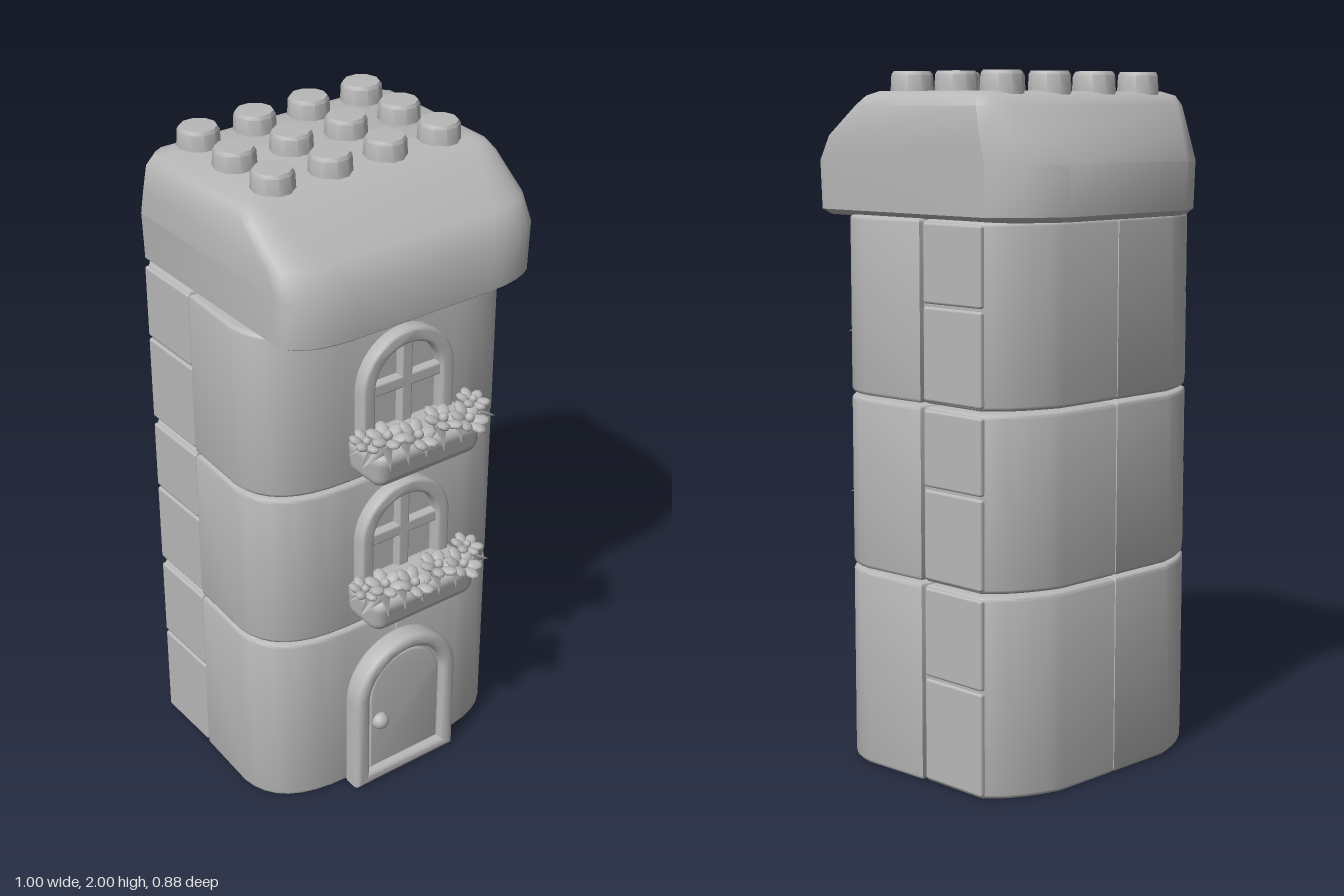
import * as THREE from 'three';
import { toCreasedNormals } from 'three/addons/utils/BufferGeometryUtils.js';
import { RoundedBoxGeometry } from 'three/addons/geometries/RoundedBoxGeometry.js';

const clay = new THREE.MeshStandardMaterial({ color: 0xb8b8b8 });
clay.name = 'grey clay';

function add(parent, name, geometry, x = 0, y = 0, z = 0) {
  const mesh = new THREE.Mesh(geometry, clay);
  mesh.name = name;
  mesh.position.set(x, y, z);
  parent.add(mesh);
  return mesh;
}

// Bevelled extrusion that keeps the shape's outer size
function extrude(shape, depth, bevel, curveSegments = 8) {
  const geo = new THREE.ExtrudeGeometry(shape, {
    depth: depth - 2 * bevel, bevelEnabled: bevel > 0, bevelSize: bevel, bevelThickness: bevel,
    bevelOffset: -bevel, bevelSegments: 3, curveSegments,
  });
  geo.translate(0, 0, bevel);
  return toCreasedNormals(geo, 0.6);
}

// Round-topped outline
function arch(half, bottom, top, path = new THREE.Shape()) {
  path.moveTo(-half, bottom);
  path.lineTo(half, bottom);
  path.lineTo(half, top - half);
  path.absarc(0, top - half, half, 0, Math.PI, false);
  path.closePath();
  return path;
}

// Plate on the +x wall
const wallPlate = (shape, depth, bevel) => extrude(shape, depth, bevel, 12).rotateY(Math.PI / 2);

// One quarter of a storey; s mirrors it across z = 0
function quarter(isPlusX, s) {
  const shape = new THREE.Shape();
  const p = (x, z) => [x, -z * s];
  if (isPlusX) {
    shape.moveTo(...p(-0.116, 0.002));
    shape.lineTo(...p(0.278, 0.002));
    shape.lineTo(...p(0.278, 0.18));
    shape.quadraticCurveTo(...p(0.275, 0.43), ...p(0.1, 0.442));
    shape.lineTo(...p(-0.116, 0.432));
  } else {
    shape.moveTo(...p(-0.124, 0.002));
    shape.lineTo(...p(-0.124, 0.424));
    shape.lineTo(...p(-0.34, 0.424));
    shape.quadraticCurveTo(...p(-0.42, 0.37), ...p(-0.458, 0.22));
    shape.lineTo(...p(-0.458, 0.002));
  }
  shape.closePath();
  return shape;
}

function storey(y0, y1, name) {
  const group = new THREE.Group();
  group.name = name;
  for (const s of [1, -1]) {
    for (const plusX of [true, false]) {
      add(group, 'wallBlock', extrude(quarter(plusX, s), y1 - y0, 0.012).rotateX(-Math.PI / 2), 0, y0, 0);
    }
    // Two raised panels leave a groove at mid height
    const mid = (y0 + y1) / 2 + 0.02;
    for (const [a, b] of [[y0 + 0.008, mid - 0.004], [mid + 0.004, y1 - 0.008]]) {
      add(group, 'wallPanel', new RoundedBoxGeometry(0.225, b - a, 0.03, 2, 0.008), -0.238, (a + b) / 2, s * 0.416);
    }
  }
  return group;
}

// Roof lofted from horizontal rings: y, xMin, xMax, half depth, left cut (x, z), right cut (x, z)
function roofGeometry() {
  const levels = [
    [1.597, -0.48, 0.357, 0.405, 0.13, 0.17, 0.09, 0.18],
    [1.612, -0.497, 0.377, 0.422, 0.14, 0.18, 0.09, 0.19],
    [1.75, -0.5, 0.38, 0.425, 0.14, 0.18, 0.09, 0.19],
    [1.82, -0.453, 0.33, 0.425, 0.11, 0.15, 0.08, 0.15],
    [1.905, -0.385, 0.2, 0.421, 0.06, 0.09, 0.06, 0.1],
    [1.932, -0.35, 0.16, 0.406, 0.04, 0.05, 0.05, 0.06],
    [1.944, -0.31, 0.125, 0.38, 0.03, 0.04, 0.04, 0.04],
  ];
  const pos = [], index = [];
  let n = 0;
  for (const [y, x0, x1, z, lx, lz, rx, rz] of levels) {
    const half = [];
    for (let i = 0; i <= 6; i++) {
      const a = (i / 6) * Math.PI / 2;
      half.push([x1 - rx + rx * Math.cos(a), z - rz + rz * Math.sin(a)]);
    }
    half.push([x0 + lx, z], [x0 + lx * 0.42, z - lz * 0.42], [x0, z - lz]);
    const ring = [...half, ...half.map(([x, w]) => [x, -w]).reverse()];
    n = ring.length;
    for (const [x, w] of ring) pos.push(x, y, w);
  }
  const top = levels.length - 1, bottomC = pos.length / 3, topC = bottomC + 1;
  pos.push(-0.06, levels[0][0], 0, -0.1, levels[top][0], 0);
  for (let j = 0; j < n; j++) {
    const k = (j + 1) % n;
    for (let i = 0; i < top; i++) {
      const a = i * n + j, b = i * n + k, c = a + n, d = b + n;
      index.push(a, c, b, b, c, d);
    }
    index.push(bottomC, j, k, topC, top * n + k, top * n + j);
  }
  const geo = new THREE.BufferGeometry();
  geo.setAttribute('position', new THREE.Float32BufferAttribute(pos, 3));
  geo.setIndex(index);
  return toCreasedNormals(geo, 0.75);
}

function flower(size) {
  const group = new THREE.Group();
  group.name = 'flower';
  for (let i = 0; i < 6; i++) {
    const arm = new THREE.Group();
    arm.name = 'petalArm';
    arm.rotation.y = (i / 6) * Math.PI * 2;
    const petal = add(arm, 'petal', new THREE.SphereGeometry(1, 8, 6), size * 0.6, 0.006, 0);
    petal.scale.set(size * 0.45, 0.011, size * 0.34);
    petal.rotation.z = 0.3;
    group.add(arm);
  }
  add(group, 'flowerCentre', new THREE.SphereGeometry(size * 0.25, 8, 6), 0, 0.01, 0);
  return group;
}

function leaf(parent, x, y, z, dir, length) {
  const mesh = add(parent, 'leaf', new THREE.ConeGeometry(0.032, length, 4).scale(1, 1, 0.4), x, y, z);
  mesh.quaternion.setFromUnitVectors(new THREE.Vector3(0, 1, 0), new THREE.Vector3(...dir).normalize());
}

// Arched window with a planter; y is the planter's underside
function windowBay(y) {
  const group = new THREE.Group();
  group.name = 'windowBay';
  const frame = arch(0.16, 0.06, 0.41);
  frame.holes.push(arch(0.115, 0.1, 0.365, new THREE.Path()));
  add(group, 'windowFrame', wallPlate(frame, 0.05, 0.01), 0.268, 0, 0);
  add(group, 'windowPane', wallPlate(arch(0.13, 0.08, 0.38), 0.012, 0), 0.27, 0, 0);
  add(group, 'mullion', new RoundedBoxGeometry(0.035, 0.3, 0.04, 2, 0.008), 0.29, 0.23, 0);
  add(group, 'crossbar', new RoundedBoxGeometry(0.035, 0.04, 0.25, 2, 0.008), 0.29, 0.245, 0);

  // Planter box, flared outwards
  const box = new RoundedBoxGeometry(0.16, 0.12, 0.37, 4, 0.035);
  const p = box.attributes.position;
  for (let i = 0; i < p.count; i++) {
    const t = p.getY(i) / 0.06;
    p.setX(i, p.getX(i) + 0.012 * t * (p.getX(i) > 0 ? 1 : 0));
    p.setZ(i, p.getZ(i) * (1 + 0.03 * t));
  }
  box.computeVertexNormals();
  add(group, 'planter', box, 0.345, 0.06, 0);

  // Hanging leaves along the front and at both ends
  for (let i = 0; i < 6; i++) leaf(group, 0.425, 0.105, (i - 2.5) * 0.062, [0.35, -1, 0], 0.075);
  for (const s of [1, -1]) {
    leaf(group, 0.40, 0.115, s * 0.195, [0.3, -0.35, s], 0.09);
    leaf(group, 0.35, 0.115, s * 0.19, [-0.2, -0.3, s], 0.08);
  }

  // Row of tilted flowers
  [[0.385, 0.155, -0.17], [0.435, 0.14, -0.115], [0.415, 0.155, -0.04],
    [0.43, 0.145, 0.06], [0.4, 0.155, 0.14], [0.37, 0.14, 0.19]].forEach(([x, h, z], i) => {
    const f = flower(i % 5 ? 0.06 : 0.05);
    f.position.set(x, h, z);
    f.rotation.set(z * 1.2, i * 0.2, i % 2 ? -0.45 : -0.2);
    group.add(f);
  });
  group.position.y = y;
  return group;
}

function door() {
  const group = new THREE.Group();
  group.name = 'door';
  const frame = arch(0.187, 0.008, 0.507);
  frame.holes.push(arch(0.138, 0.05, 0.46, new THREE.Path()));
  add(group, 'doorFrame', wallPlate(frame, 0.075, 0.018), 0.267, 0, 0);
  add(group, 'doorPanel', wallPlate(arch(0.15, 0.035, 0.475), 0.045, 0), 0.27, 0, 0);
  add(group, 'doorInset', wallPlate(arch(0.128, 0.06, 0.45), 0.012, 0.005), 0.312, 0, 0);
  add(group, 'doorKnob', new THREE.SphereGeometry(0.028, 14, 10), 0.326, 0.23, 0.095);
  return group;
}

export function createModel() {
  const model = new THREE.Group();
  model.name = 'tower';
  model.add(storey(0.005, 0.58, 'groundFloor'), storey(0.588, 1.084, 'middleFloor'), storey(1.092, 1.6, 'upperFloor'));
  model.add(door(), windowBay(0.64), windowBay(1.132));
  add(model, 'roof', roofGeometry());

  // Grid of studs on the roof
  const stud = toCreasedNormals(new THREE.LatheGeometry(
    [[0.062, 0], [0.059, 0.055], [0.053, 0.065], [0, 0.066]].map(([r, y]) => new THREE.Vector2(r, y)), 10), 0.7);
  for (const x of [-0.283, -0.106, 0.073]) {
    for (const z of [-0.28, -0.094, 0.09, 0.276]) add(model, 'roofStud', stud, x, 1.934, z);
  }
  return model;
}
